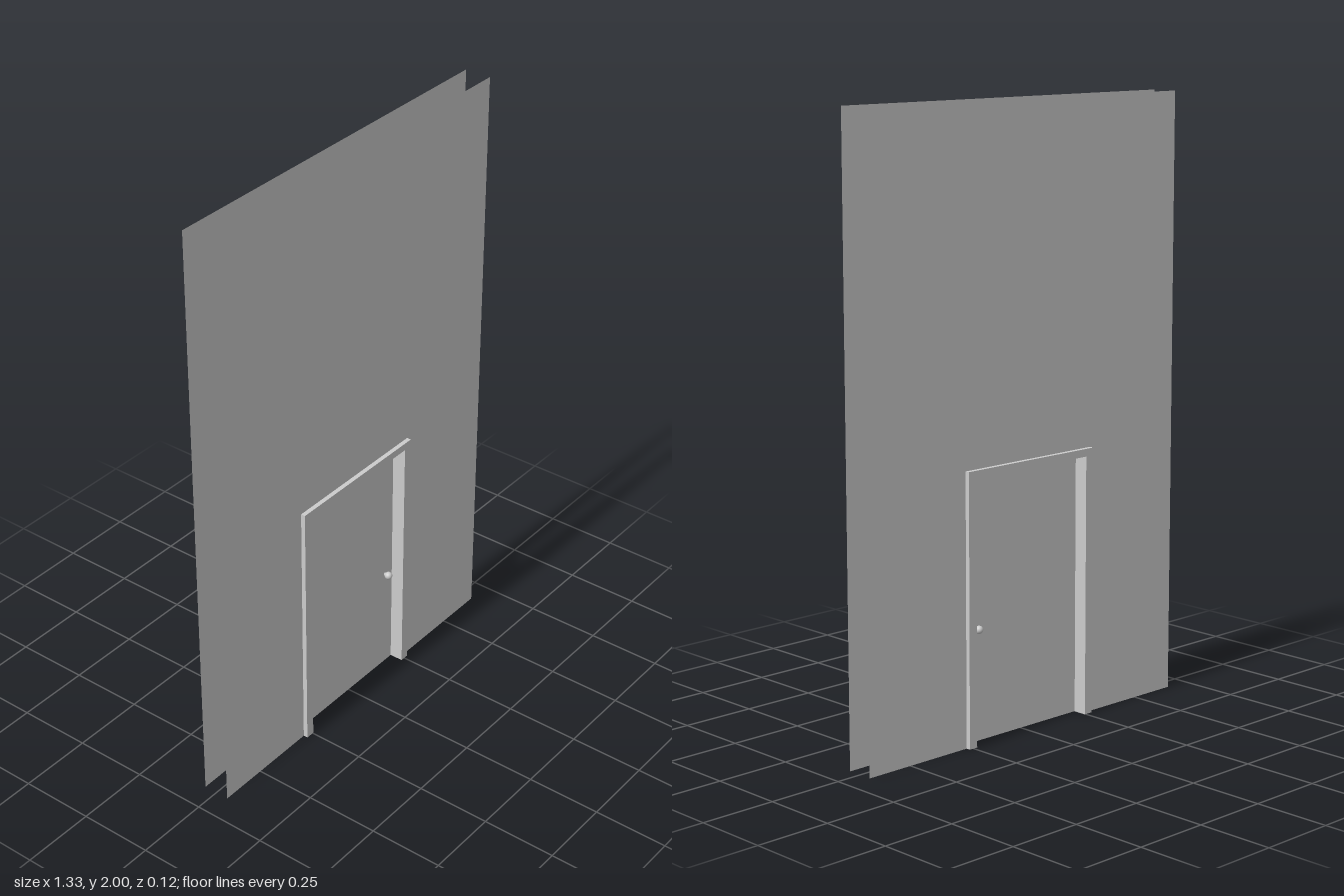
import * as THREE from 'three';

const GREY = new THREE.MeshStandardMaterial({ color: 0xcccccc, side: THREE.DoubleSide });
const WALL_W = 1.33, WALL_H = 2, WALL_Z = 0.045;
const DOOR_X = -0.006, OPEN_W = 0.482, OPEN_H = 0.857;
const DOOR_HALF = 0.014;

// Upside-down U around the opening, grown outward by "grow" at the sides and "rise" on top
function archShape(grow, rise) {
  const i = OPEN_W / 2, o = i + grow, top = OPEN_H + rise;
  return new THREE.Shape([
    [-o, 0], [-i, 0], [-i, OPEN_H], [i, OPEN_H], [i, 0], [o, 0], [o, top], [-o, top],
  ].map(([x, y]) => new THREE.Vector2(x, y)));
}

function add(parent, name, geometry, x = 0, y = 0, z = 0) {
  const mesh = new THREE.Mesh(geometry, GREY);
  mesh.name = name;
  mesh.position.set(x, y, z);
  parent.add(mesh);
  return mesh;
}

const extrude = (shape, depth) => new THREE.ExtrudeGeometry(shape, { depth, bevelEnabled: false });

// Thin wall sheet with the doorway cut out from its lower edge
function wallGeometry() {
  const w = WALL_W / 2, l = DOOR_X - OPEN_W / 2, r = DOOR_X + OPEN_W / 2;
  return new THREE.ShapeGeometry(new THREE.Shape([
    [-w, 0], [l, 0], [l, OPEN_H], [r, OPEN_H], [r, 0], [w, 0], [w, WALL_H], [-w, WALL_H],
  ].map(([x, y]) => new THREE.Vector2(x, y))));
}

export function createModel() {
  const model = new THREE.Group();
  model.name = 'doorInWall';

  // Two wall sheets
  add(model, 'frontWall', wallGeometry(), 0, 0, WALL_Z);
  add(model, 'backWall', wallGeometry(), 0, 0, -WALL_Z).rotation.y = 0;

  const doorway = new THREE.Group();
  doorway.name = 'doorway';
  doorway.position.x = DOOR_X;
  model.add(doorway);

  // Casing on each wall face, with a narrower rebate just behind it
  for (const side of [1, -1]) {
    const label = side > 0 ? 'front' : 'back';
    add(doorway, label + 'Casing', extrude(archShape(0.031, 0.025), 0.015), 0, 0, side > 0 ? 0.045 : -0.06);
    add(doorway, label + 'Rebate', extrude(archShape(0.01, 0.006), 0.013), 0, 0, side > 0 ? 0.032 : -0.045);
  }

  // Thin jamb lining between the two rebates
  for (const side of [1, -1]) {
    const jamb = add(doorway, side > 0 ? 'leftJamb' : 'rightJamb',
      new THREE.PlaneGeometry(0.064, OPEN_H), side * OPEN_W / 2, OPEN_H / 2, 0);
    jamb.rotation.y = -side * Math.PI / 2;
  }
  add(doorway, 'headJamb', new THREE.PlaneGeometry(OPEN_W, 0.064), 0, OPEN_H, 0).rotation.x = Math.PI / 2;

  // Door leaf
  add(doorway, 'doorLeaf', new THREE.BoxGeometry(OPEN_W - 0.002, OPEN_H - 0.001, DOOR_HALF * 2), 0, OPEN_H / 2, 0);

  // Round knob on a short stem, both faces
  for (const side of [1, -1]) {
    const knob = new THREE.Group();
    knob.name = side > 0 ? 'frontKnob' : 'backKnob';
    knob.position.set(0.202, 0.366, side * DOOR_HALF);
    doorway.add(knob);
    add(knob, 'knobStem', new THREE.CylinderGeometry(0.006, 0.006, 0.012, 16), 0, 0, side * 0.005).rotation.x = Math.PI / 2;
    add(knob, 'knobBall', new THREE.SphereGeometry(0.013, 24, 16), 0, 0, side * 0.015);
  }
  return model;
}
